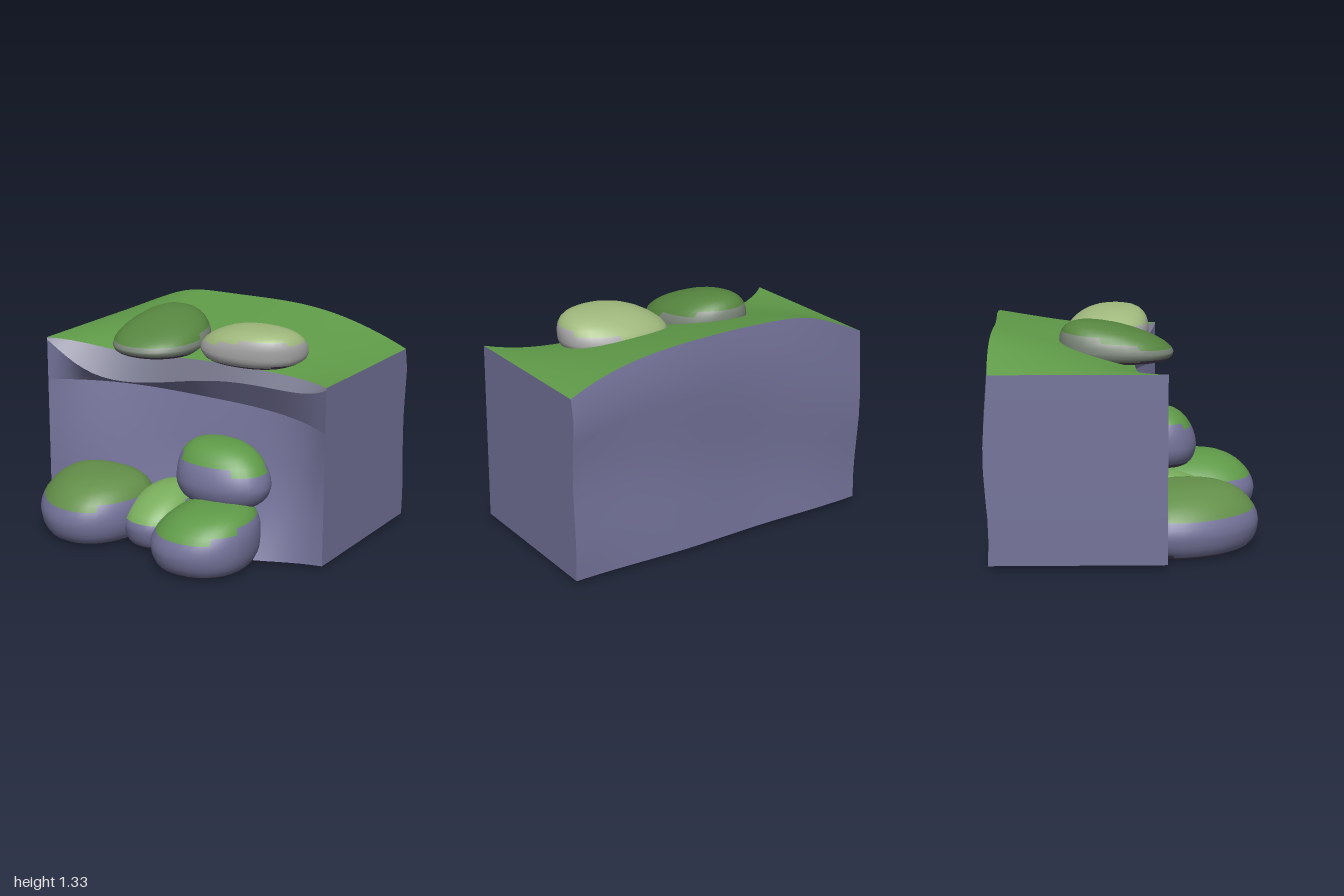
import * as THREE from 'three';
import { mergeVertices } from 'three/addons/utils/BufferGeometryUtils.js';

const mat = (color) => new THREE.MeshStandardMaterial({ color });
const ROCK = mat(0x74739a), LIP = mat(0x84849a), GRASS = mat(0x5f9a48), DARK = mat(0x51465a);
const V = (x, y, z) => new THREE.Vector3(x, y, z);
const { lerp } = THREE.MathUtils;

// Surface through rows of points; columns run sideways, rows run upwards as seen from outside
function grid(rows) {
  const n = rows[0].length, index = [];
  for (let v = 0; v < rows.length - 1; v++) {
    for (let u = 0; u < n - 1; u++) {
      const a = v * n + u, b = a + 1, c = b + n, d = a + n;
      index.push(a, b, c, a, c, d);
    }
  }
  let geo = new THREE.BufferGeometry().setFromPoints(rows.flat());
  geo.setIndex(index);
  geo = mergeVertices(geo, 1e-5);
  geo.computeVertexNormals();
  return geo;
}

function add(group, name, geo, material) {
  const mesh = new THREE.Mesh(geo, material);
  mesh.name = name;
  group.add(mesh);
}

// Rules across the width: growth towards the ends, a local bump that dies at the ends
const COLS = 32;
const end = (x, power) => Math.abs(x) ** power;
const bump = (x, at, width) => Math.exp(-(((x - at) / width) ** 2)) * (1 - x ** 6);
const row = (y, z) => Array.from({ length: COLS + 1 }, (_, i) => {
  const x = (2 * i) / COLS - 1;
  return V(x, y(x), z(x));
});

function createCliff() {
  const cliff = new THREE.Group();
  cliff.name = 'cliff';

  const foot = row(() => 0.03, (x) => 0.21 + 0.19 * bump(x, 0.4, 0.45));
  const ankle = row(() => 0.3, (x) => 0.1 + 0.11 * end(x, 1.5) + 0.05 * bump(x, 0.6, 0.25));
  const middle = row(() => 0.58, (x) => 0.04 + 0.17 * end(x, 2.5));
  const hollow = row(() => 0.84, (x) => -0.03 + 0.24 * end(x, 3));
  const lip = row((x) => 1.1 - 0.09 * (1 - x ** 6) - 0.13 * bump(x, -0.5, 0.55),
    (x) => 0.05 + 0.16 * end(x, 2.5) + 0.05 * bump(x, -0.7, 0.3));
  const brow = row((x) => 1.115 - 0.02 * (1 - x ** 6) - 0.04 * bump(x, -0.5, 0.4),
    (x) => 0.04 + 0.17 * end(x, 5));
  const ridge = row((x) => 1.115 + 0.185 * (1 - end(x, 2.5)) + 0.025 * bump(x, -0.6, 0.25),
    (x) => -0.785 - 0.008 * Math.sin(x * 6));

  add(cliff, 'frontWall', grid([foot, ankle, middle, hollow]), ROCK);
  add(cliff, 'overhang', grid([hollow, lip]), ROCK);
  add(cliff, 'overhangLip', grid([lip, brow]), LIP);

  // Grass slope rising to the ridge
  const slope = Array.from({ length: 11 }, (_, k) => brow.map((p, i) => {
    const q = p.clone().lerp(ridge[i], k / 10);
    q.y = lerp(p.y, ridge[i].y, (k / 10) ** 0.8);
    return q;
  }));
  add(cliff, 'grassTop', grid(slope), GRASS);

  // Gently wavy back wall
  const back = Array.from({ length: 9 }, (_, k) => ridge.map((p) => V(p.x, lerp(p.y, 0.03, k / 8),
    k === 0 ? p.z : -0.803 - 0.013 * Math.sin(k * 0.9 + p.x * 1.5) - 0.006 * Math.sin(p.x * 6))));
  add(cliff, 'backWall', grid(back), ROCK);
  add(cliff, 'underside', grid([back[8], foot]), DARK);

  // Flat ends
  for (const [name, i] of [['leftEnd', COLS], ['rightEnd', 0]]) {
    const rows = back.map((r) => {
      const ends = [V(r[i].x, r[i].y, 0.21), r[i]];
      return i ? ends : ends.reverse();
    });
    add(cliff, name, grid(rows.reverse()), ROCK);
  }
  return cliff;
}

// Boulder: oval plan swept up a profile with a broad base, its widest belt and a crest drawn to the peak
function createBoulder(spec) {
  const { name, at, size, y, peak, lean = 0, taper = 0, skew = 0, belt = 0.42,
    base = 0.25, crown = 0.72, stone = ROCK, moss = GRASS } = spec;
  const power = (v) => Math.sign(v) * Math.abs(v) ** 0.9;
  const plan = Array.from({ length: 33 }, (_, i) => {
    const a = ((i % 32) / 32) * Math.PI * 2;
    const z = power(Math.cos(a));
    const x = power(Math.sin(a)) * (1 - taper * z) + skew * z;
    const lump = 1 + 0.02 * Math.sin(3 * a + at[0] * 9);
    return V(x * size[0] * lump, 0, z * size[1] * lump);
  });
  const rows = Array.from({ length: 17 }, (_, k) => {
    const angle = (k / 16 - 0.5) * Math.PI;
    const rise = Math.sign(angle) * Math.abs(Math.sin(angle)) ** 1.1;
    const scale = Math.max(0, Math.cos(angle)) ** (rise < 0 ? base : crown);
    const h = belt + rise * (rise < 0 ? belt : 1 - belt);
    const shift = Math.max(0, rise) ** 1.5;
    return plan.map((p) => V(
      at[0] + p.x * scale + (peak[0] - at[0]) * shift,
      lerp(y[0], y[1], h) - lean * h * p.z * scale,
      at[1] + p.z * scale + (peak[1] - at[1]) * shift,
    ));
  });
  const geo = grid(rows);

  // Triangles facing up become the mossy cap, those facing down the dark base
  const parts = { Moss: [], Stone: [], Base: [] };
  const materials = { Moss: moss, Stone: stone, Base: DARK };
  const idx = geo.index.array;
  const tri = new THREE.Triangle(), normal = V(0, 0, 0);
  for (let i = 0; i < idx.length; i += 3) {
    const face = [idx[i], idx[i + 1], idx[i + 2]];
    tri.setFromAttributeAndIndices(geo.attributes.position, ...face);
    tri.getNormal(normal);
    parts[normal.y > 0.5 ? 'Moss' : normal.y < -0.7 ? 'Base' : 'Stone'].push(...face);
  }
  const group = new THREE.Group();
  group.name = name;
  for (const [part, list] of Object.entries(parts)) {
    const piece = geo.clone();
    piece.setIndex(list);
    add(group, name + part, piece, materials[part]);
  }
  return group;
}

const BOULDERS = [
  { name: 'lowerRightBoulder', at: [-0.52, 0.39], size: [0.37, 0.37], y: [0, 0.385], peak: [-0.47, 0.36],
    taper: 0.14, skew: 0.15, crown: 0.65, moss: mat(0x64904a) },
  { name: 'lowerLeftBoulder', at: [0.357, 0.46], size: [0.31, 0.36], y: [0, 0.375], peak: [0.42, 0.42],
    skew: 0.08, crown: 0.65 },
  { name: 'middleBoulder', at: [-0.06, 0.31], size: [0.2, 0.27], y: [0.005, 0.345], peak: [-0.05, 0.2],
    moss: mat(0x79ad5c) },
  { name: 'stackedBoulder', at: [0.335, 0.24], size: [0.3, 0.205], y: [0.305, 0.68], peak: [0.28, 0.2],
    base: 0.45, crown: 0.6, belt: 0.38 },
  { name: 'topRightBoulder', at: [-0.305, -0.065], size: [0.272, 0.335], y: [1.08, 1.32],
    peak: [-0.33, -0.17], lean: 0.12, belt: 0.3, crown: 0.9, stone: mat(0x7a8578), moss: mat(0x56853f) },
  { name: 'topLeftBoulder', at: [0.32, -0.115], size: [0.335, 0.255], y: [1.09, 1.322],
    peak: [0.4, -0.06], base: 0.3, belt: 0.35, stone: mat(0xa5a5a6), moss: mat(0x9fb87c) },
];

export function createModel() {
  const model = new THREE.Group();
  model.name = 'rockyCliff';
  model.add(createCliff(), ...BOULDERS.map(createBoulder));
  return model;
}
